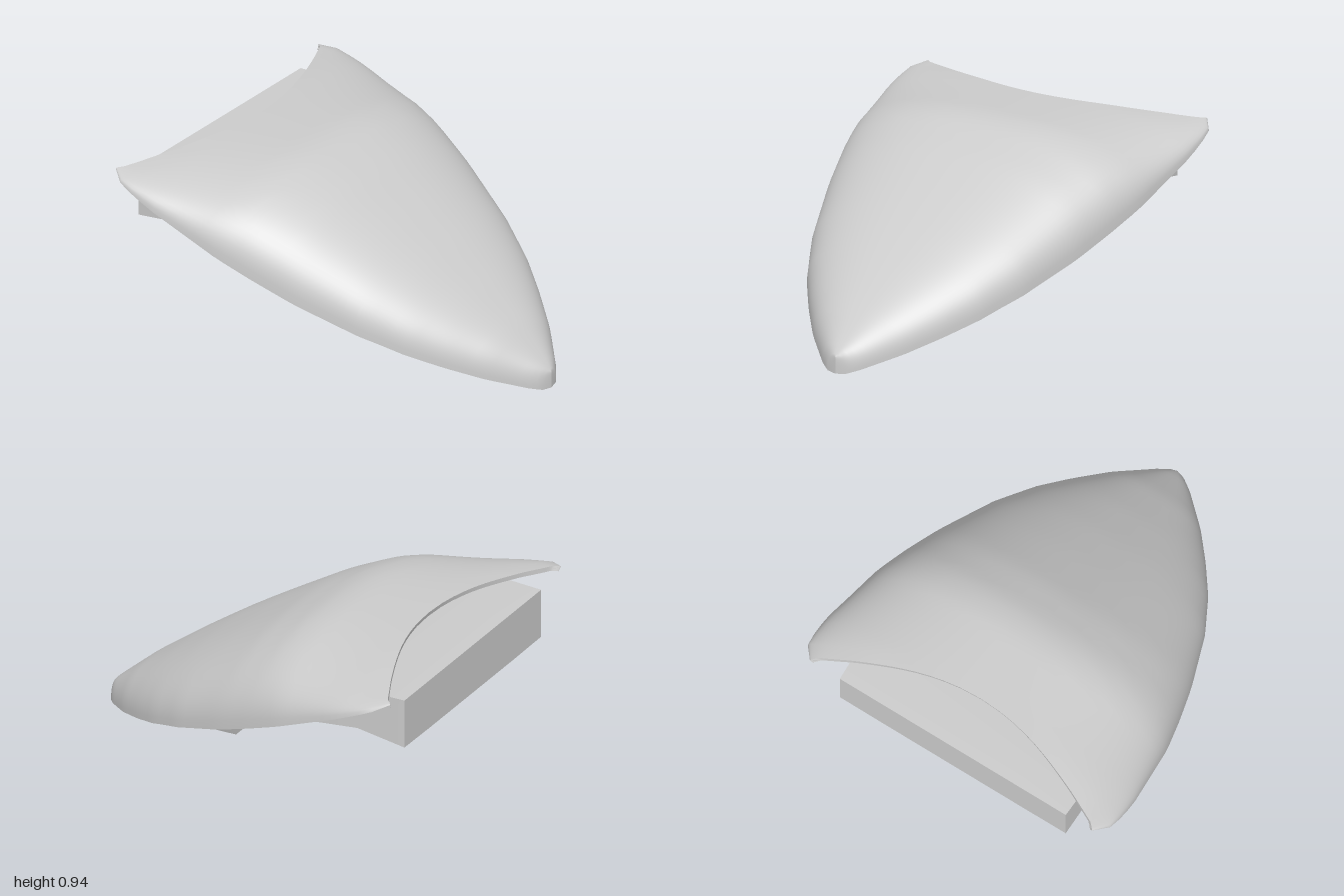
import * as THREE from 'three';
import { toCreasedNormals } from 'three/addons/utils/BufferGeometryUtils.js';

// Piecewise profile lookup; points are [z, value] with z falling
function profile(points) {
  return (z) => {
    for (let i = 1; i < points.length; i++) {
      const [z0, v0] = points[i - 1], [z1, v1] = points[i];
      if (z >= z1) return v0 + (v1 - v0) * Math.min(1, Math.max(0, (z - z0) / (z1 - z0)));
    }
    return points[points.length - 1][1];
  };
}

// Skin a grid of points (rows of equal length)
function skin(rows) {
  const n = rows[0].length, index = [];
  for (let i = 0; i < rows.length - 1; i++) {
    for (let j = 0; j < n - 1; j++) {
      const a = i * n + j, b = a + 1, d = a + n, c = d + 1;
      index.push(a, d, c, a, c, b);
    }
  }
  const geo = new THREE.BufferGeometry();
  geo.setAttribute('position', new THREE.Float32BufferAttribute(rows.flat(2), 3));
  geo.setIndex(index);
  geo.computeVertexNormals();
  return geo;
}

// Shell half width, rim height and crown height along z
const halfWidth = profile([[1, 0], [0.99, 0.05], [0.95, 0.105], [0.8, 0.26], [0.65, 0.385], [0.5, 0.495],
  [0.3, 0.605], [0, 0.72], [-0.2, 0.78], [-0.38, 0.825], [-0.75, 0.87], [-0.9, 0.865], [-0.97, 0.845], [-1, 0.8]]);
const rimY = profile([[1, 0.005], [0.4, 0.27], [0, 0.435], [-0.5, 0.66], [-1, 0.885]]);
const crownY = profile([[1, 0.09], [0.97, 0.125], [0.8, 0.275], [0.6, 0.42], [0.4, 0.555], [0.2, 0.68], [-0.05, 0.83],
  [-0.25, 0.92], [-0.36, 0.94], [-0.8, 0.938], [-0.9, 0.928], [-1, 0.908]]);

function shellRows() {
  const rows = [], steps = 40, cols = 40, e = 2 / 2.5;
  for (let i = 0; i <= steps; i++) {
    const u = Math.pow(i / steps, 1.4), row = [];
    for (let j = 0; j <= cols; j++) {
      const t = (Math.PI * j) / cols, c = Math.cos(t);
      const k = Math.sign(c) * Math.pow(Math.abs(c), e);
      const h = Math.pow(Math.max(0, Math.sin(t)), e);
      // the rear edge is a scoop between two swept corners
      const rear = -0.74 - 0.36 * k * k + 0.1 * k ** 4;
      const z = 1 - u * (1 - rear), y0 = rimY(z);
      row.push([halfWidth(z) * k, y0 + (crownY(z) - y0) * h, z]);
    }
    rows.push(row);
  }
  return rows;
}

// Inner block sections: z, half width, top, side bottom, keel half width, keel bottom
const blockSections = [
  [-0.985, 0.64, 0.83, 0.575, 0.4, 0.572],
  [-0.73, 0.65, 0.83, 0.615, 0.42, 0.57],
  [-0.5, 0.65, 0.81, 0.585, 0.4, 0.49],
  [-0.28, 0.62, 0.74, 0.515, 0.38, 0.435],
  [0, 0.55, 0.58, 0.36, 0.32, 0.35],
  [0.19, 0.45, 0.45, 0.262, 0.24, 0.262],
  [0.191, 0.45, 0.45, 0.26, 0.23, 0.125],
  [0.46, 0.29, 0.25, 0.12, 0.17, 0.085],
  [0.63, 0.16, 0.12, 0.037, 0.1, 0.034],
  [0.7, 0.06, 0.06, 0.034, 0.04, 0.032],
];

function blockGeometry() {
  const rows = blockSections.map(([z, w, top, side, kw, keel]) => [
    [w, top, z], [w, side, z], [kw, keel, z], [-kw, keel, z], [-w, side, z], [-w, top, z], [w, top, z],
  ]);
  const geo = skin(rows), index = Array.from(geo.index.array);
  const last = (rows.length - 1) * 7;
  for (let k = 1; k < 5; k++) index.push(0, k, k + 1, last, last + k + 1, last + k);
  geo.setIndex(index);
  return toCreasedNormals(geo, 0.6);
}

export function createModel() {
  const group = new THREE.Group();
  const grey = new THREE.MeshStandardMaterial({ color: 0xcccccc });
  const thin = new THREE.MeshStandardMaterial({ color: 0xcccccc, side: THREE.DoubleSide });
  const add = (name, geo, mat) => {
    const mesh = new THREE.Mesh(geo, mat);
    mesh.name = name;
    group.add(mesh);
  };

  // Curved outer shell
  const rows = shellRows(), n = rows[0].length;
  add('outerShell', skin(rows), thin);

  // Narrow lip turned in along the rim
  for (const j of [0, n - 1]) {
    const edge = rows.map((r) => r[j]);
    const inner = edge.map(([x, y, z]) => [x * 0.96, y - 0.003, z * 0.98]);
    add('rimLip', skin([edge, inner]), thin);
  }
  // Lip turned down along the rear scoop
  const rear = rows[rows.length - 1];
  add('rearLip', skin([rear, rear.map(([x, y, z]) => [x * 0.98, y - 0.022, z + 0.005])]), thin);

  // Solid block under the shell
  add('innerBlock', blockGeometry(), grey);
  return group;
}
